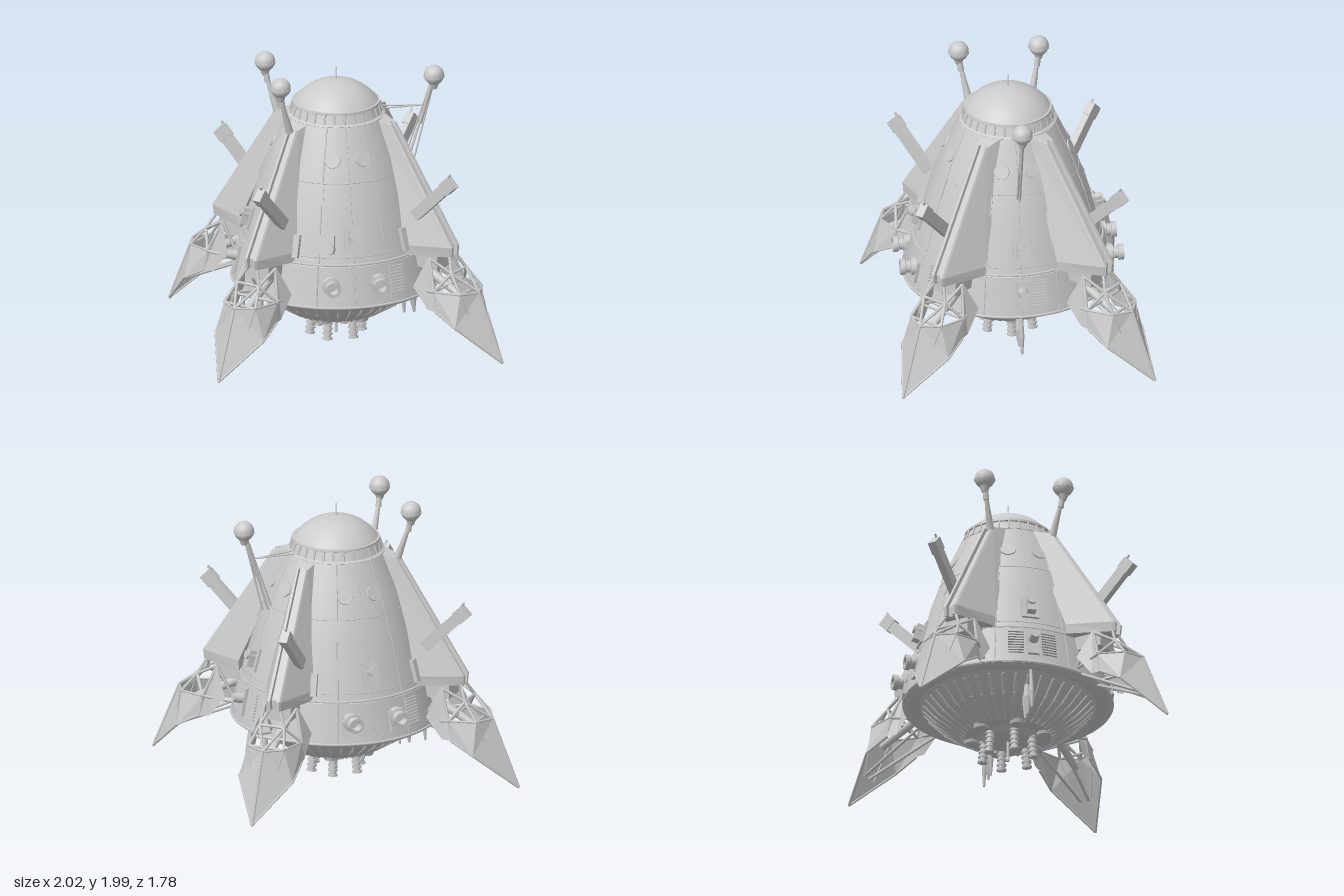
import * as THREE from 'three';
import { toCreasedNormals } from 'three/addons/utils/BufferGeometryUtils.js';

const mat = new THREE.MeshStandardMaterial({ color: 0xcccccc });
const flat = new THREE.MeshStandardMaterial({ color: 0xcccccc, flatShading: true, side: THREE.DoubleSide });
const V = (x, y, z) => new THREE.Vector3(x, y, z);

function add(parent, name, geo, pos = [0, 0, 0], rot = [0, 0, 0], m = mat) {
  const mesh = new THREE.Mesh(geo, m);
  mesh.name = name;
  mesh.position.set(...pos);
  mesh.rotation.set(...rot);
  parent.add(mesh);
  return mesh;
}
const box = (p, n, s, pos, rot) => add(p, n, new THREE.BoxGeometry(...s), pos, rot);
const cyl = (p, n, r1, r2, h, pos, rot, seg = 16) => add(p, n, new THREE.CylinderGeometry(r1, r2, h, seg), pos, rot);

// Straight bar between two points
function rod(parent, name, a, b, r1, r2 = r1, seg = 6) {
  const A = V(...a), B = V(...b), d = B.clone().sub(A);
  const mesh = cyl(parent, name, r2, r1, d.length(), A.clone().add(B).multiplyScalar(0.5).toArray(), [0, 0, 0], seg);
  mesh.quaternion.setFromUnitVectors(V(0, 1, 0), d.normalize());
}

function facets(parent, name, v) {
  const g = new THREE.BufferGeometry();
  g.setAttribute('position', new THREE.Float32BufferAttribute(v, 3));
  g.computeVertexNormals();
  add(parent, name, g, undefined, undefined, flat);
}
// Thin plate from a polygon, fanned from its first corner
function plate(parent, name, pts) {
  const v = [];
  for (let i = 1; i < pts.length - 1; i++) v.push(...pts[0], ...pts[i], ...pts[i + 1]);
  facets(parent, name, v);
}
// Closed solid through matching loops, capped from the loop centres
function loft(parent, name, loops) {
  const v = [], n = loops[0].length;
  for (let k = 0; k < loops.length - 1; k++)
    for (let i = 0; i < n; i++) {
      const j = (i + 1) % n, [a, b, c, d] = [loops[k][i], loops[k][j], loops[k + 1][j], loops[k + 1][i]];
      v.push(...a, ...b, ...c, ...a, ...c, ...d);
    }
  for (const L of [loops[0], loops[loops.length - 1]]) {
    const c = [0, 1, 2].map(k => L.reduce((s, p) => s + p[k], 0) / n);
    L.forEach((p, i) => v.push(...c, ...p, ...L[(i + 1) % n]));
  }
  facets(parent, name, v);
}

// Hull outline as [radius, height], bottom to top
const HULL = [[0, 0.19], [0.3, 0.19], [0.36, 0.22], [0.49, 0.31], [0.58, 0.4], [0.61, 0.43], [0.69, 0.41], [0.725, 0.43],
  [0.665, 0.72], [0.65, 0.735], [0.61, 0.88], [0.54, 1.13], [0.45, 1.38], [0.335, 1.63], [0, 1.64]];
const SIDE = HULL.slice(7, 14);
function hullRadius(y) {
  for (let i = 0; i < SIDE.length - 1; i++) {
    const [r0, y0] = SIDE[i], [r1, y1] = SIDE[i + 1];
    if (y <= y1) return r0 + (r1 - r0) * (y - y0) / (y1 - y0);
  }
  return 0.335;
}
// Group lying on the hull at angle a (0 = front), its z pointing outward
function onHull(parent, name, a, y) {
  const g = new THREE.Group(), r = hullRadius(y);
  g.name = name;
  g.rotation.order = 'YXZ';
  g.position.set(r * Math.sin(a), y, r * Math.cos(a));
  g.rotation.set(-Math.atan((hullRadius(y - 0.02) - hullRadius(y + 0.02)) / 0.04), a, 0);
  parent.add(g);
  return g;
}
const polar = (a, r, y) => [r * Math.sin(a), y, r * Math.cos(a)];
const lathe = (pts, seg) => toCreasedNormals(new THREE.LatheGeometry(pts.map(p => new THREE.Vector2(...p)), seg), 0.4);
const hoop = (p, n, r, y, t) => add(p, n, new THREE.TorusGeometry(r, t, 6, 64), [0, y, 0], [Math.PI / 2, 0, 0]);

function buildHull(root) {
  add(root, 'hull', lathe(HULL, 64));
  for (const [y, t] of [[0.44, 0.01], [0.73, 0.01], [1.27, 0.003], [0.78, 0.003]]) hoop(root, 'hullSeam', hullRadius(y), y, t);
  for (let i = 0; i < 4; i++) for (const off of [-0.38, 0, 0.38]) {
    const a = i * Math.PI / 2 + off;
    for (let k = 0; k < SIDE.length - 1; k++) rod(root, 'hullRib', polar(a, ...SIDE[k]), polar(a, ...SIDE[k + 1]), off ? 0.005 : 0.003);
  }
  // Ribbed underside
  for (let i = 0; i < 40; i++) {
    const a = i * Math.PI / 20;
    rod(root, 'undersideRib', polar(a, 0.59, 0.41), polar(a, 0.49, 0.31), 0.011);
    rod(root, 'undersideRib', polar(a, 0.49, 0.31), polar(a, 0.3, 0.19), 0.011, 0.008);
  }
  // Collar and shallow dome
  add(root, 'collar', lathe([[0.33, 1.62], [0.338, 1.63], [0.32, 1.64], [0.297, 1.7], [0.307, 1.705], [0.305, 1.72], [0.28, 1.72]], 48));
  for (let i = 0; i < 28; i++) {
    const a = i * Math.PI / 14;
    rod(root, 'collarRib', polar(a, 0.322, 1.64), polar(a, 0.3, 1.71), 0.007);
  }
  add(root, 'dome', new THREE.SphereGeometry(0.36, 32, 10, 0, Math.PI * 2, 0, 1.0), [0, 1.508, 0]);
  rod(root, 'domeSpike', [0, 1.86, 0], [0, 1.96, 0], 0.003);
}

function buildHullDetails(root) {
  for (let i = 0; i < 4; i++) {
    const a = i * Math.PI / 2, wide = i % 2 === 0;
    const unit = onHull(root, 'sensorBox', a, 0.9);
    box(unit, 'sensorPlate', [0.12, 0.17, 0.03]);
    box(unit, 'sensorBody', [0.06, 0.12, 0.07], [0, 0, 0.03]);
    cyl(unit, 'sensorLens', 0.03, 0.035, 0.06, [0, 0.02, 0.05], [Math.PI / 2, 0, 0]);
    for (const s of [-1, 1]) {
      const port = onHull(root, 'porthole', a + s * 0.25, 1.42);
      cyl(port, 'portholeDisc', 0.052, 0.055, 0.014, [0, 0, 0], [Math.PI / 2, 0, 0], 24);
      // Louvred vents
      const vent = onHull(root, 'vent', a + s * (wide ? 0.46 : 0.17), 0.6);
      for (let k = 0; k < 9; k++) box(vent, 'ventSlat', [0.11, 0.01, 0.024], [0, (k - 4) * 0.022, 0]);
      const pod = onHull(root, 'sidePod', a + s * 0.64, 0.84);
      box(pod, 'sidePodBox', [0.045, 0.16, 0.06]);
      const strip = onHull(root, 'strip', a + s * 0.38, 1.2);
      box(strip, 'stripBar', [0.02, 0.14, 0.015]);
      if (!wide) continue;
      // Nozzles on the front and back, pointing straight out
      const base = onHull(root, 'nozzleMount', a + s * 0.245, 0.57);
      box(base, 'nozzleBase', [0.12, 0.15, 0.04]);
      const noz = new THREE.Group();
      noz.name = 'nozzle';
      noz.rotation.y = a;
      root.add(noz);
      add(noz, 'nozzleBarrel', lathe([[0.062, 0], [0.062, 0.04], [0.042, 0.045], [0.042, 0.075], [0.055, 0.08], [0.055, 0.115], [0.035, 0.115], [0.03, 0.06], [0, 0.06]], 16),
        [s * 0.17, 0.6, 0.665], [Math.PI / 2, 0, 0]);
    }
    if (!wide) {
      const hatch = onHull(root, 'sideHatch', a, 0.6);
      box(hatch, 'hatchBlock', [0.08, 0.2, 0.04]);
      cyl(hatch, 'hatchKnob', 0.03, 0.04, 0.1, [0, 0.02, 0.04], [Math.PI / 2, 0, 0]);
    }
  }
  const housing = onHull(root, 'equipmentHousing', -0.37, 0.87);
  box(housing, 'housingBody', [0.2, 0.13, 0.07]);
  cyl(housing, 'housingLens', 0.035, 0.04, 0.05, [0.07, -0.03, 0.04], [Math.PI / 2, 0, 0]);
}

// Leg frame: x runs outward, z across, mirrored halves at +/-z; side picks the launcher's flank
function buildLeg(side) {
  const leg = new THREE.Group();
  leg.name = 'leg';
  // Wedge fin with a narrow grooved prow
  const section = (u, t, y, rise, back, wide) => [[u - back, y + rise, -wide], [u - back, y + rise, wide], [u - 0.015, y, t], [u, y, t * 0.8], [u, y, t * 0.45],
    [u - 0.03, y, t * 0.4], [u - 0.03, y, -t * 0.4], [u, y, -t * 0.45], [u, y, -t * 0.8], [u - 0.015, y, -t]];
  loft(leg, 'fin', [section(0.34, 0.045, 1.6, 0.04, 0.16, 0.08), section(0.855, 0.055, 0.8, 0, 0.32, 0.18), section(0.85, 0.05, 0.73, 0, 0.32, 0.18)]);
  // Launcher raised from the fin flank
  const gun = new THREE.Group();
  gun.name = 'launcher';
  gun.position.set(0.735, 1.15, 0.1 * side);
  gun.rotation.z = 0.78;
  leg.add(gun);
  box(gun, 'launcherBody', [0.42, 0.08, 0.05]);
  box(gun, 'launcherMuzzle', [0.09, 0.095, 0.06], [0.18, 0, 0]);
  rod(gun, 'launcherSight', [0.2, 0.04, 0], [0.25, 0.05, 0], 0.008);
  // Foot shield
  const ridge = [1.05, 0.5, 0], tip = [1.245, 0.02, 0];
  for (const s of [-1, 1]) {
    const top = [0.8, 0.51, 0.19 * s], low = [0.82, 0.37, 0.2 * s], corner = [0.985, 0.28, 0.2 * s], mid = [0.98, 0.505, 0.13 * s];
    plate(leg, 'footShield', [corner, tip, ridge, mid, top, low]);
    plate(leg, 'legFairing', [[0.72, 0.73, 0.13 * s], [0.63, 0.52, 0.195 * s], [0.75, 0.37, 0.19 * s], low, top]);
    [[ridge, mid], [mid, top], [low, corner], [corner, tip]].forEach(([a, b]) => rod(leg, 'shieldEdge', a, b, 0.008));
    // Truss
    const hip = [0.72, 0.72, 0.12 * s], prow = [0.83, 0.73, 0.04 * s], knee = [0.88, 0.63, 0.09 * s], base = [0.58, 0.47, 0.12 * s];
    [[hip, knee], [prow, knee], [knee, mid], [knee, top], [hip, top], [base, top], [base, hip], [knee, ridge]]
      .forEach(([a, b]) => rod(leg, 'truss', a, b, 0.011));
    rod(leg, 'innerBrace', [0.6, 0.44, 0.1 * s], [1.1, 0.2, 0.03 * s], 0.011);
    rod(leg, 'innerBrace', mid, [1.08, 0.18, 0.06 * s], 0.006);
  }
  for (const [u, y, t] of [[0.88, 0.63, 0.09], [0.98, 0.505, 0.13], [0.8, 0.51, 0.19]]) rod(leg, 'crossBar', [u, y, -t], [u, y, t], 0.011);
  rod(leg, 'ridgeBar', ridge, tip, 0.01);
  rod(leg, 'piston', [0.6, 0.6, 0], [0.98, 0.4, 0], 0.035, 0.025, 10);
  box(leg, 'hipBlock', [0.24, 0.1, 0.18], [0.64, 0.68, 0]);
  return leg;
}

function buildAntennas(root) {
  const ball = (p) => {
    add(root, 'antennaBall', new THREE.SphereGeometry(0.07, 24, 16), p);
    cyl(root, 'antennaCup', 0.073, 0.073, 0.012, [p[0], p[1] - 0.008, p[2]], undefined, 24);
    cyl(root, 'antennaNeck', 0.04, 0.02, 0.05, [p[0], p[1] - 0.075, p[2]]);
  };
  for (const s of [-1, 1]) {
    ball([-0.445, 1.93, 0.28 * s]);
    rod(root, 'antennaStalk', [-0.37, 1.58, 0.22 * s], [-0.43, 1.8, 0.265 * s], 0.028, 0.014, 8);
    rod(root, 'antennaStalk', [-0.43, 1.78, 0.265 * s], [-0.445, 1.9, 0.28 * s], 0.022, 0.018, 8);
  }
  // Braced mast on the left side
  ball([0.69, 1.85, 0]);
  for (const [x, z] of [[0.48, 0], [0.51, 0.01], [0.51, -0.01], [0.55, 0]]) rod(root, 'mastRod', [x, 1.25, z], [0.68 + (x - 0.51) * 0.3, 1.81, z], 0.006);
  rod(root, 'mastTube', [0.59, 1.5, 0], [0.68, 1.8, 0], 0.014);
  for (const s of [-1, 1]) rod(root, 'mastBrace', [0.32, 1.64, 0.03 * s], [0.61, 1.635, 0], 0.005);
}

function buildUndercarriage(root) {
  cyl(root, 'hub', 0.22, 0.16, 0.04, [0, 0.175, 0], undefined, 24);
  rod(root, 'centreProbe', [0, 0.01, 0], [0, 0.2, 0], 0.012);
  for (let i = 0; i < 6; i++) {
    // Coiled thrusters, leaning outward
    const a = i * Math.PI / 3, g = new THREE.Group();
    g.name = 'thruster';
    g.rotation.order = 'YXZ';
    g.position.set(...polar(a + Math.PI / 2, 0.185, 0.005));
    g.rotation.set(-0.1, a + Math.PI / 2, 0);
    root.add(g);
    cyl(g, 'thrusterTube', 0.025, 0.025, 0.2, [0, 0.11, 0]);
    for (let k = 0; k < 5; k++) cyl(g, 'thrusterCoil', 0.034, 0.034, 0.014, [0, 0.02 + k * 0.036, 0]);
    cyl(root, 'hubPod', 0.065, 0.05, 0.05, polar(a + Math.PI / 6, 0.26, 0.195));
  }
  // Hanging spikes at the sides
  for (const s of [-1, 1]) for (const [x, r] of [[0.47, 0.018], [0.54, 0.03], [0.66, 0.018]]) {
    rod(root, 'sideSpike', [s * x, 0.25, 0], [s * (x + 0.01), 0.12, 0], r, 0.008, 8);
    rod(root, 'sideSpikeMount', [s * (x - 0.02), 0.42, 0], [s * x, 0.25, 0], 0.01, r, 8);
  }
}

export function createModel() {
  const root = new THREE.Group();
  root.name = 'spacecraft';
  buildHull(root);
  buildHullDetails(root);
  for (const sx of [-1, 1]) for (const sz of [-1, 1]) {
    const leg = buildLeg(sx * sz);
    leg.position.x = 0.12 * sx;
    leg.rotation.y = -Math.atan2(sz, sx);
    root.add(leg);
  }
  buildAntennas(root);
  buildUndercarriage(root);
  return root;
}
